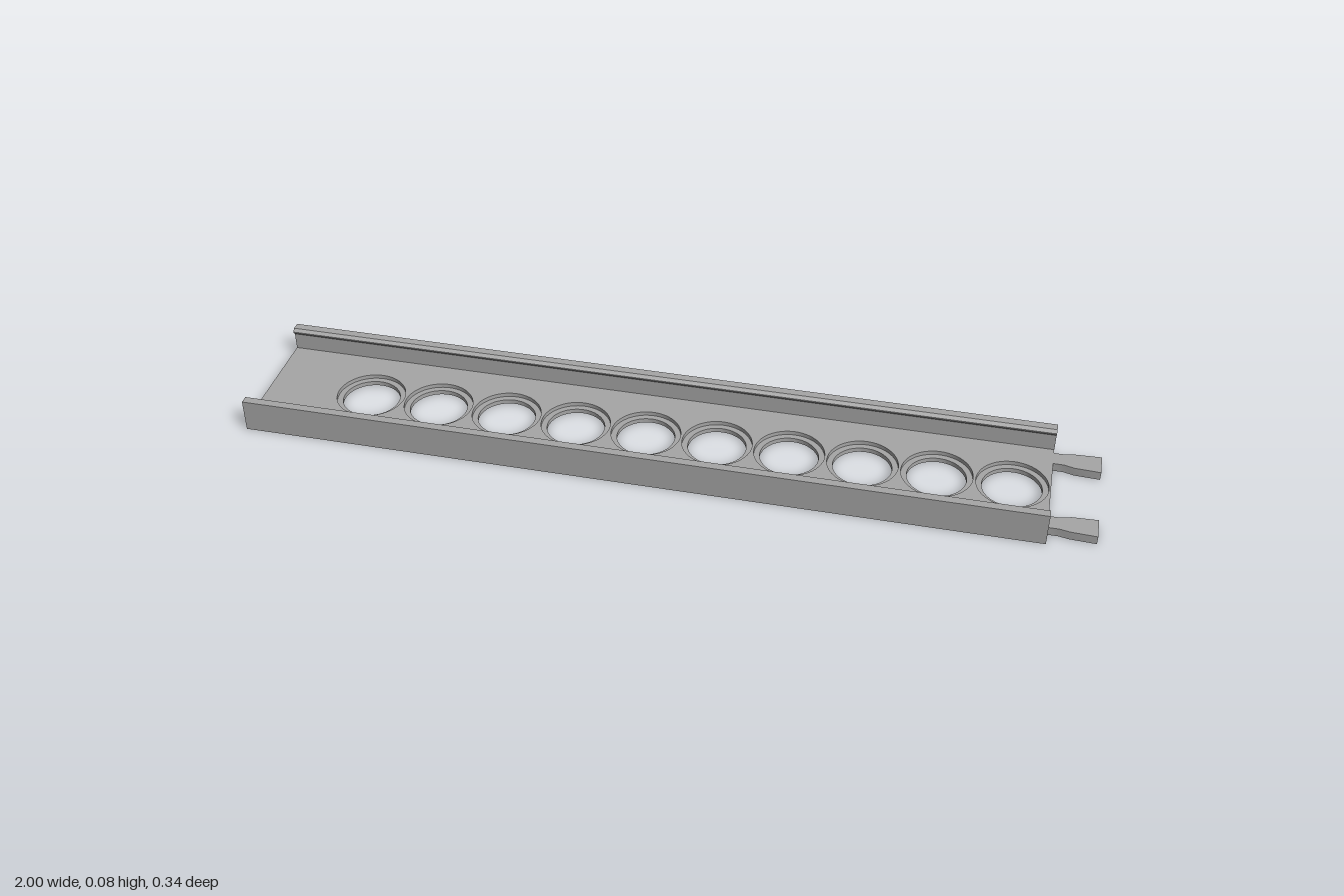
import * as THREE from 'three';
import { toCreasedNormals } from 'three/addons/utils/BufferGeometryUtils.js';

const START = -1, END = 0.89, WALL_OUT = 0.169, WALL_IN = 0.149;
const FLOOR_H = 0.021, LEDGE_H = 0.011;
const HOLES = 10, FIRST = -0.745, PITCH = 0.172, R_OUT = 0.083, R_IN = 0.069;

const toShape = (pts) => new THREE.Shape(pts.map(([x, y]) => new THREE.Vector2(x, y)));
const circle = (type, x, r) => new type().absarc(x, 0, r, 0, Math.PI * 2, false);

function extrude(shape, depth) {
  return new THREE.ExtrudeGeometry(shape, { depth, bevelEnabled: false, curveSegments: 32 });
}

export function createModel() {
  const group = new THREE.Group();
  group.name = 'railTray';
  const grey = new THREE.MeshStandardMaterial({ color: 0xa6a6a6 });
  grey.name = 'grey';

  const add = (name, geometry) => {
    const mesh = new THREE.Mesh(toCreasedNormals(geometry, 0.5), grey);
    mesh.name = name;
    group.add(mesh);
  };

  // Floor outline with two flared tabs at the +x end
  const tabSide = [
    [END, 0.096], [0.915, 0.096], [0.94, 0.089], [1, 0.086],
    [1, 0.144], [0.94, 0.141], [0.915, 0.136], [END, 0.136], [END, WALL_IN],
  ];
  const mirrored = tabSide.map(([x, y]) => [x, -y]).reverse();
  const floor = toShape([[START, -WALL_IN], ...mirrored, ...tabSide, [START, WALL_IN]]);

  // Row of stepped holes: wide bore above, narrower ring below
  for (let i = 0; i < HOLES; i++) {
    const x = FIRST + i * PITCH;
    floor.holes.push(circle(THREE.Path, x, R_OUT));
    const ring = circle(THREE.Shape, x, R_OUT);
    ring.holes.push(circle(THREE.Path, x, R_IN));
    add('holeLedge' + (i + 1), extrude(ring, LEDGE_H).rotateX(-Math.PI / 2));
  }
  add('floorWithTabs', extrude(floor, FLOOR_H).rotateX(-Math.PI / 2));

  // Side walls with an inward snap lip
  const profile = [
    [WALL_OUT, 0], [WALL_OUT, 0.08], [WALL_IN, 0.08], [0.142, 0.073],
    [0.142, 0.07], [WALL_IN, 0.063], [WALL_IN, 0],
  ];
  for (const [side, name] of [[-1, 'frontWall'], [1, 'backWall']]) {
    const shape = toShape(profile.map(([z, y]) => [side * z, y]));
    add(name, extrude(shape, END - START).rotateY(Math.PI / 2).translate(START, 0, 0));
  }
  return group;
}
